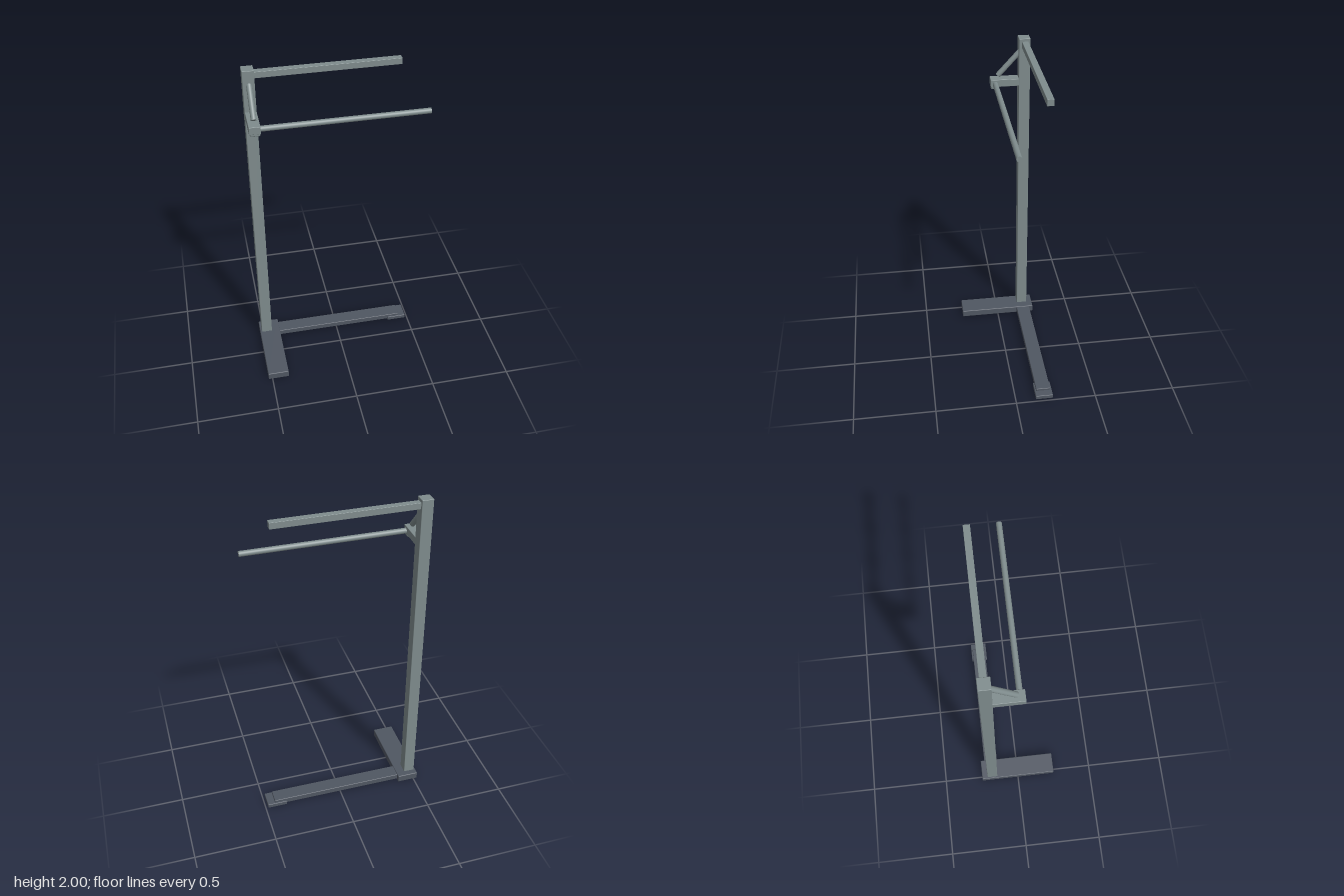
import * as THREE from 'three';
import { RoundedBoxGeometry } from 'three/addons/geometries/RoundedBoxGeometry.js';

export function createModel() {
  const model = new THREE.Group();
  model.name = 'stand';
  const frameGrey = new THREE.MeshStandardMaterial({ color: 0x7f8c8d });
  frameGrey.name = 'frame grey';
  const baseGrey = new THREE.MeshStandardMaterial({ color: 0x505762 });
  baseGrey.name = 'base slate';

  // Softened box given by its extents on each axis
  const block = (name, material, [x0, x1], [y0, y1], [z0, z1], radius = 0.003) => {
    const geometry = new RoundedBoxGeometry(x1 - x0, y1 - y0, z1 - z0, 2, radius);
    const mesh = new THREE.Mesh(geometry, material);
    mesh.name = name;
    mesh.position.set((x0 + x1) / 2, (y0 + y1) / 2, (z0 + z1) / 2);
    model.add(mesh);
  };

  // Round bar between two points
  const rod = (name, material, from, to, radius) => {
    const a = new THREE.Vector3(...from), b = new THREE.Vector3(...to);
    const dir = b.clone().sub(a);
    const mesh = new THREE.Mesh(new THREE.CylinderGeometry(radius, radius, dir.length(), 24), material);
    mesh.name = name;
    mesh.position.copy(a).add(b).multiplyScalar(0.5);
    mesh.quaternion.setFromUnitVectors(new THREE.Vector3(0, 1, 0), dir.normalize());
    model.add(mesh);
  };

  // Base: cross foot, long runner and end pad
  block('foot', baseGrey, [-0.525, -0.393], [0, 0.047], [-0.248, 0.248], 0.005);
  block('runner', baseGrey, [-0.4, 0.438], [0.006, 0.042], [-0.223, -0.134], 0.004);
  block('endPad', baseGrey, [0.361, 0.485], [0, 0.027], [-0.233, -0.125], 0.004);

  // Upright and square top rail
  block('post', frameGrey, [-0.514, -0.446], [0.04, 2], [-0.211, -0.143]);
  block('topRail', frameGrey, [-0.46, 0.388], [1.944, 1.982], [-0.198, -0.16], 0.002);

  // Bracket arm, its rod socket and the diagonal brace
  block('bracketArm', frameGrey, [-0.513, -0.447], [1.704, 1.75], [-0.16, 0.028]);
  block('rodSocket', frameGrey, [-0.508, -0.45], [1.688, 1.74], [-0.021, 0.027], 0.008);
  rod('brace', frameGrey, [-0.478, 1.768, -0.018], [-0.478, 1.922, -0.16], 0.016);

  // Round lower rail
  rod('lowerRail', frameGrey, [-0.47, 1.722, 0], [0.522, 1.722, 0], 0.0165);

  return model;
}
